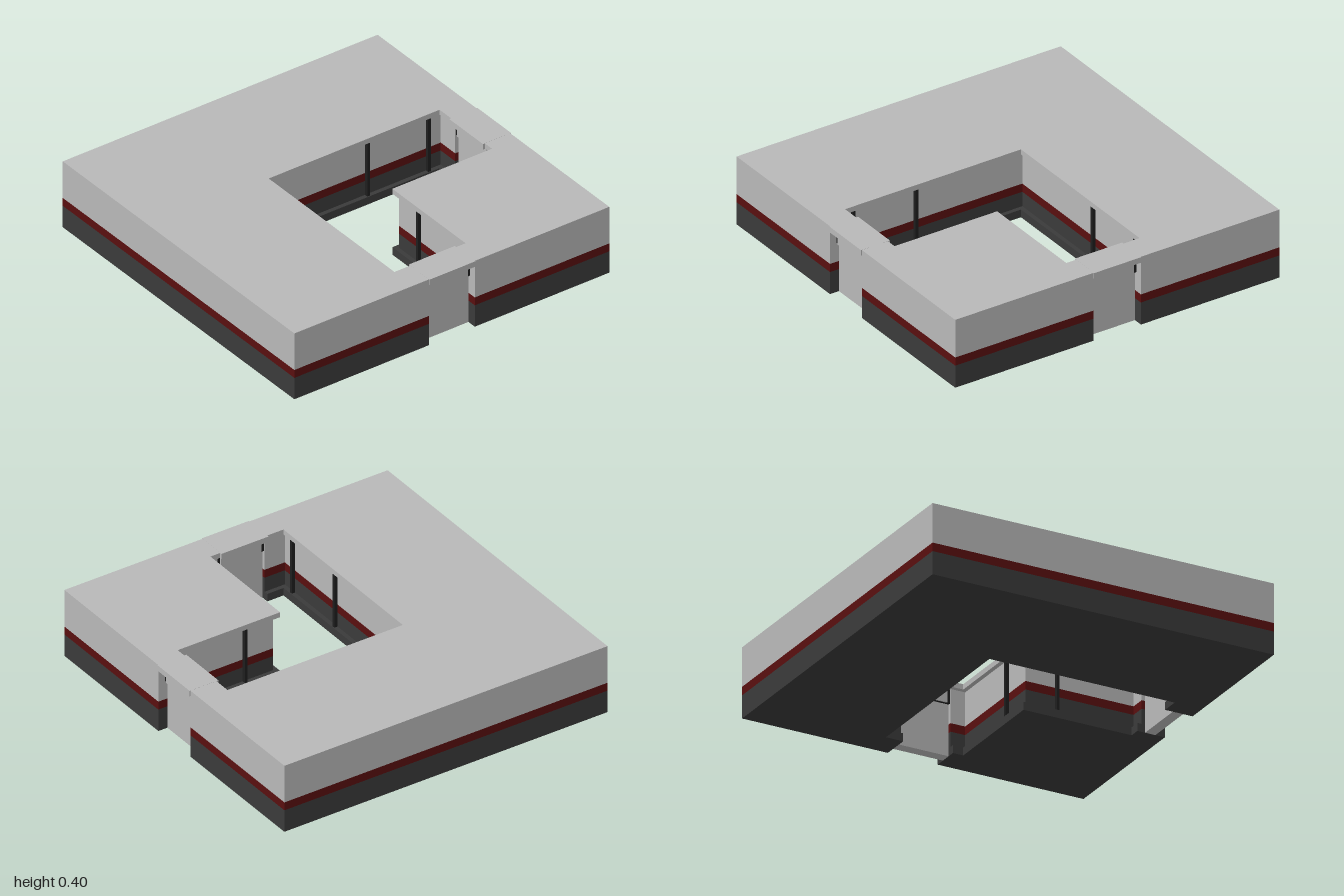
import * as THREE from 'three';

const mat = (name, color) => Object.assign(new THREE.MeshStandardMaterial({ color }), { name });

export function createModel() {
  const grey = mat('light grey', 0xb8b8b8);
  const red = mat('dark red', 0x590f0f);
  const dark = mat('charcoal', 0x3a3a3a);
  const black = mat('black', 0x1e1e1e);

  const model = new THREE.Group();
  model.name = 'corridorCorner';
  const tile = new THREE.Group();
  tile.name = 'tile';
  tile.position.set(-0.005, 0, 0.005);
  model.add(tile);

  // Plan coordinates are (x, s) with s = -z; the plan is symmetric about x = s.
  const H = 0.995, D = 0.145, A = 0.205, B = 0.245, E = 0.835;
  const outline = (pts) => new THREE.Shape(pts.map(([x, s]) => new THREE.Vector2(x, s)));

  function layer(name, shapes, y0, y1, material) {
    const geo = new THREE.ExtrudeGeometry(shapes, { depth: y1 - y0, bevelEnabled: false });
    geo.rotateX(-Math.PI / 2);
    const mesh = new THREE.Mesh(geo, material);
    mesh.name = name;
    mesh.position.y = y0;
    tile.add(mesh);
  }

  // The two wall blocks either side of the passage, with inner walls set back by r
  function walls(r) {
    const a = A + r, b = B + r, e = E + r;
    return [
      outline([[-H, -H], [H, -H], [H, -D], [e, -D], [e, -b], [-b, -b], [-b, e], [-D, e], [-D, H], [-H, H]]),
      outline([[H, D], [H, H], [D, H], [D, e], [a, e], [a, a], [e, a], [e, D]]),
    ];
  }

  const R = 0.025;
  layer('baseLedge', walls(0), 0, 0.045, dark);
  layer('lowerWall', walls(R), 0.045, 0.13, dark);
  layer('redStripe', walls(R), 0.13, 0.178, red);
  layer('upperWall', walls(R), 0.178, 0.37, grey);

  // Roof slab with the L-shaped opening
  const roof = outline([[-H, -H], [H, -H], [H, H], [-H, H]]);
  roof.holes.push(new THREE.Path(
    [[-B, -B], [-B, E], [A, E], [A, A], [E, A], [E, -B]].map(([x, s]) => new THREE.Vector2(x, s))));
  layer('roof', [roof], 0.37, 0.4, grey);

  // Box by plan limits, placed on both arms of the L
  function pair(name, material, x0, x1, s0, s1, y0, y1) {
    for (const swap of [false, true]) {
      const [a0, a1, b0, b1] = swap ? [s0, s1, x0, x1] : [x0, x1, s0, s1];
      const mesh = new THREE.Mesh(new THREE.BoxGeometry(a1 - a0, y1 - y0, b1 - b0), material);
      mesh.name = name + (swap ? 'Back' : 'Side');
      mesh.position.set((a0 + a1) / 2, (y0 + y1) / 2, -(b0 + b1) / 2);
      tile.add(mesh);
    }
  }

  // Doors, with header and lintel
  pair('door', grey, 0.88, 0.94, -D, D, 0, 0.29);
  pair('headerCore', black, 0.865, 0.955, -D, D, 0.29, 0.37);
  pair('headerOuterPanel', grey, 0.955, 0.962, -0.125, 0.125, 0.29, 0.368);
  pair('headerInnerPanel', grey, 0.858, 0.865, -0.125, 0.125, 0.29, 0.368);
  pair('lintel', grey, 0.823, 1.0, -D, D, 0.368, 0.4005);

  // Thin wall posts in the set-back walls
  for (const p of [0.39, 0.775]) pair('outerPost', black, p - 0.008, p + 0.008, -B - R, -B - 0.005, 0.045, 0.37);
  pair('innerPost', black, 0.402, 0.418, A + 0.005, A + R, 0.045, 0.37);

  return model;
}
